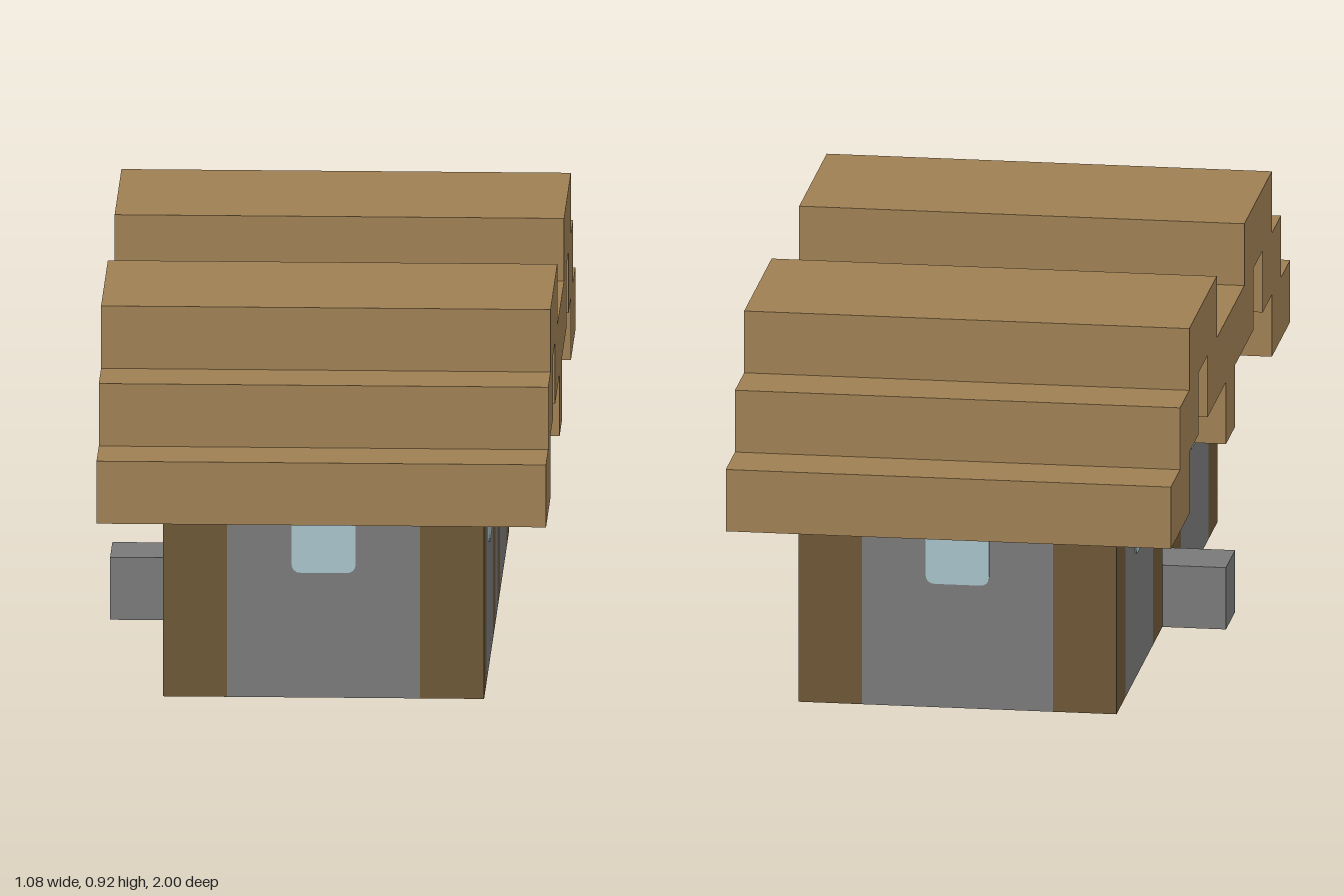
import * as THREE from 'three';

const U = 2 / 13; // one building block

export function createModel() {
  const house = new THREE.Group();
  house.name = 'blockHouse';

  const flat = (name, color) => {
    const m = new THREE.MeshStandardMaterial({ color });
    m.name = name;
    return m;
  };
  const planks = flat('planks', 0xa08154);
  const log = flat('log', 0x6d5737);
  const stone = flat('stone', 0x7a7a7a);
  const glass = flat('glass', 0xa9c3cb);

  const add = (name, geometry, material) => {
    const mesh = new THREE.Mesh(geometry, material);
    mesh.name = name;
    house.add(mesh);
    return mesh;
  };

  // Box given by its limits, counted in blocks
  const block = (name, material, x0, x1, y0, y1, z0, z1) => {
    const mesh = add(name, new THREE.BoxGeometry((x1 - x0) * U, (y1 - y0) * U, (z1 - z0) * U), material);
    mesh.position.set((x0 + x1) / 2 * U, (y0 + y1) / 2 * U, (z0 + z1) / 2 * U);
  };

  // Block centred on x and z, standing between two heights
  const column = (name, material, x, z, w, d, y0, y1) =>
    block(name, material, x - w / 2, x + w / 2, y0, y1, z - d / 2, z + d / 2);

  // Stepped double roof: half outline (z, y), mirrored and extruded across x
  const half = [
    [0.5, 3], [0.5, 4], [2.5, 4], [2.5, 5], [3.5, 5], [3.5, 4], [4.5, 4], [4.5, 3],
    [6.5, 3], [6.5, 4], [5.5, 4], [5.5, 5], [4.5, 5], [4.5, 6], [1.5, 6], [1.5, 5],
  ];
  const outline = [...half, ...half.map(([z, y]) => [-z, y]).reverse()];
  const roof = new THREE.ExtrudeGeometry(
    new THREE.Shape(outline.map(([z, y]) => new THREE.Vector2(z * U, y * U))),
    { depth: 7 * U, bevelEnabled: false });
  roof.translate(0, 0, -3.5 * U).rotateY(Math.PI / 2);
  add('roof', roof, planks);

  // Window pane; square-topped where it meets the eave
  const pane = (squareTop) => {
    const w = 0.077, r = 0.024, t = squareTop ? 0 : r;
    const s = new THREE.Shape();
    s.moveTo(-w + r, -w);
    s.lineTo(w - r, -w);
    s.quadraticCurveTo(w, -w, w, -w + r);
    s.lineTo(w, w - t);
    if (t) s.quadraticCurveTo(w, w, w - t, w);
    s.lineTo(-w + t, w);
    if (t) s.quadraticCurveTo(-w, w, -w, w - t);
    s.lineTo(-w, -w + r);
    s.quadraticCurveTo(-w, -w, -w + r, -w);
    return new THREE.ExtrudeGeometry(s, { depth: 0.003, bevelEnabled: false, curveSegments: 4 });
  };

  for (const sz of [1, -1]) {
    // End wall and its window
    column('endWall', stone, 0, 5 * sz, 3, 1, 0, 3);
    const endWindow = add('endWindow', pane(true), glass);
    endWindow.position.set(0, 2.5 * U, 5.5 * U * sz);
    endWindow.rotation.y = sz > 0 ? 0 : Math.PI;

    // Ridge beam showing in the gable notch
    column('ridgeBeam', log, 0, 3 * sz, 5, 1, 4, 5);

    // Plank floor around a stone hearth
    const floor = new THREE.Shape([[-1.5, -2], [1.5, -2], [1.5, 2], [-1.5, 2]]
      .map(([x, y]) => new THREE.Vector2(x * U, y * U)));
    const c = -0.5 * sz; // hearth offset within the floor
    floor.holes.push(new THREE.Path([[-0.5, c - 0.5], [-0.5, c + 0.5], [0.5, c + 0.5], [0.5, c - 0.5]]
      .map(([x, y]) => new THREE.Vector2(x * U, y * U))));
    const floorGeo = new THREE.ExtrudeGeometry(floor, { depth: U, bevelEnabled: false });
    floorGeo.rotateX(-Math.PI / 2).translate(0, 0, 2.5 * U * sz);
    add('plankFloor', floorGeo, planks);
    column('hearth', stone, 0, 3 * sz, 1, 1, 0, 1);

    for (const sx of [1, -1]) {
      column('cornerPost', log, 2 * sx, 5 * sz, 1, 1, 0, 3);
      column('middlePost', log, 2 * sx, sz, 1, 1, 0, 4);
      column('sideWall', stone, 2 * sx, 3 * sz, 1, 3, 0, 4);
      const sideWindow = add('sideWindow', pane(false), glass);
      sideWindow.position.set(2.5 * U * sx, 2.5 * U, 3 * U * sz);
      sideWindow.rotation.y = sx * Math.PI / 2;
    }
  }

  // Stone passage reaching out to a doorstep on the open side
  block('passageFloorAndStep', stone, -3.5, 2.5, 0, 1, -0.5, 0.5);
  // Wall closing the passage on the other side
  block('middleWall', stone, 1.5, 2.5, 1, 3, -0.5, 0.5);

  return house;
}
